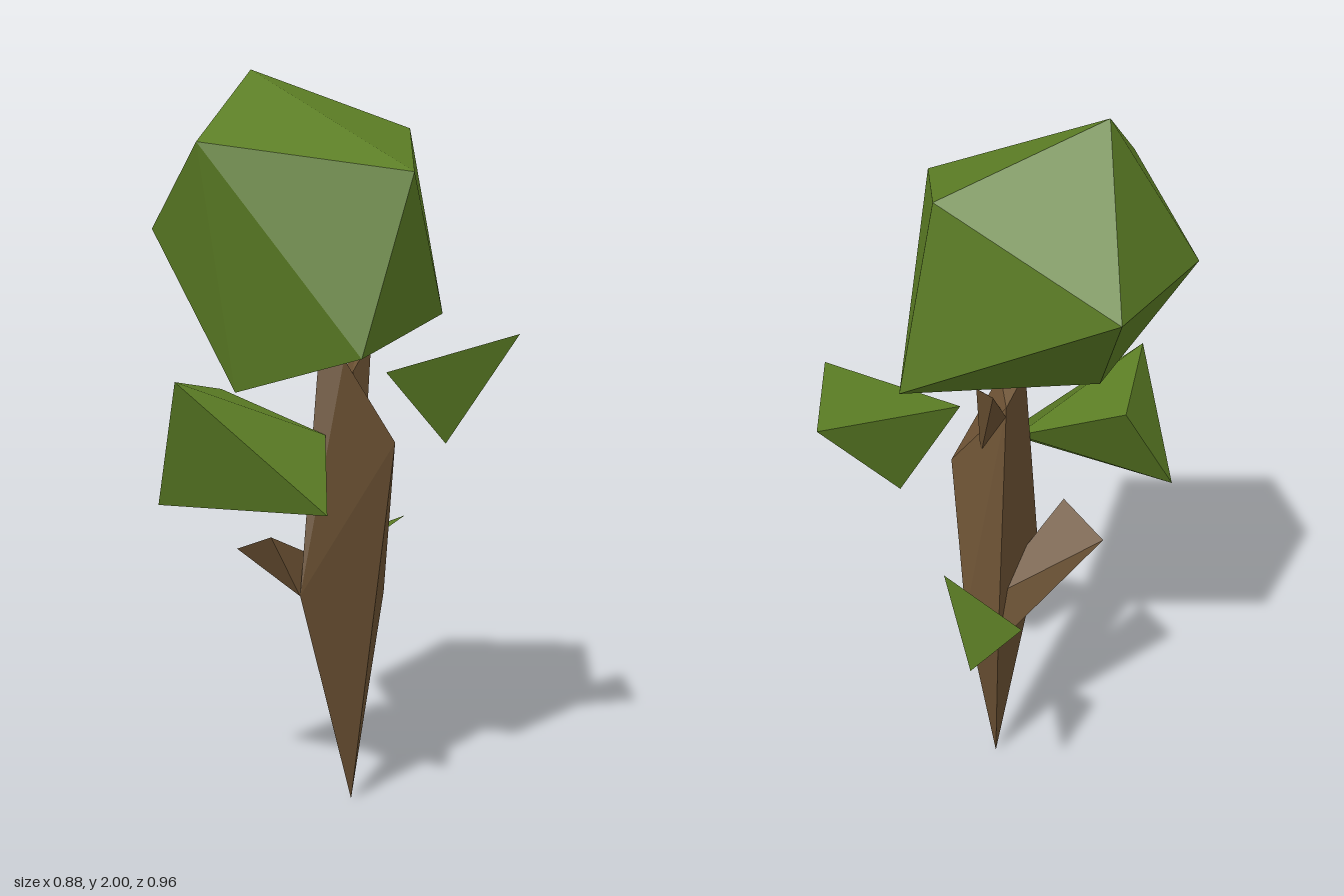
import * as THREE from 'three';
import { ConvexGeometry } from 'three/addons/geometries/ConvexGeometry.js';

const bark = new THREE.MeshStandardMaterial({ color: 0x6b5133 });
bark.name = 'bark brown';
const leaf = new THREE.MeshStandardMaterial({ color: 0x5c7e25, side: THREE.DoubleSide });
leaf.name = 'leaf green';

const toVectors = (points) => points.map((p) => new THREE.Vector3(...p));

// A faceted lump: the convex hull of a few corners, with flat face normals.
function chunk(name, material, points) {
  const mesh = new THREE.Mesh(new ConvexGeometry(toVectors(points)), material);
  mesh.name = name;
  return mesh;
}

// A single flat triangular leaf.
function flatLeaf(name, points) {
  const geometry = new THREE.BufferGeometry().setFromPoints(toVectors(points));
  geometry.computeVertexNormals();
  const mesh = new THREE.Mesh(geometry, leaf);
  mesh.name = name;
  return mesh;
}

export function createModel() {
  const tree = new THREE.Group();
  tree.name = 'tree';

  // Tapered trunk standing on a point, widest at mid height
  tree.add(chunk('trunk', bark, [
    [0.02, 0, 0.01],
    [-0.045, 0.61, 0.18], [-0.035, 0.5, -0.1], [0.06, 0.57, -0.11],
    [0.135, 1.01, -0.025],
    [-0.03, 1.25, 0.1], [0.035, 1.24, 0.08], [-0.025, 1.2, -0.02],
  ]));

  // Broken side branch and the small fork under the crown
  tree.add(chunk('sideBranch', bark, [
    [-0.24, 0.72, 0.18], [-0.09, 0.78, 0.255],
    [-0.045, 0.61, 0.18], [-0.035, 0.49, -0.1], [0.02, 0.61, -0.09],
  ]));
  tree.add(chunk('topFork', bark, [
    [0.05, 1.04, -0.02], [-0.025, 1.16, -0.01], [0.03, 1.2, 0.02],
    [-0.03, 1.28, -0.12], [0.03, 1.28, -0.09],
  ]));

  // Large crown
  tree.add(chunk('crown', leaf, [
    [-0.265, 2, 0.045], [-0.21, 1.8, 0.405], [0.315, 1.725, 0.245],
    [0.06, 1.85, -0.265], [-0.445, 1.58, 0.26], [-0.42, 1.62, -0.27],
    [0.215, 1.27, 0.33], [-0.18, 1.16, 0.28], [0.15, 1.34, -0.295],
  ]));

  // Smaller leaf clumps around the trunk
  tree.add(chunk('frontLeafClump', leaf, [
    [-0.385, 0.855, 0.34], [-0.235, 1.205, 0.48], [0.145, 0.88, 0.38],
    [-0.3, 1.15, 0.155], [0, 1.04, 0.12],
  ]));
  tree.add(chunk('leftLeafClump', leaf, [
    [0.44, 1.305, -0.15], [0.315, 1.265, -0.43],
    [0.21, 0.99, -0.19], [0.095, 1.195, -0.05],
  ]));
  tree.add(flatLeaf('backLeaf', [
    [-0.12, 0.685, -0.48], [-0.135, 0.61, -0.17], [0.07, 0.77, -0.225],
  ]));

  return tree;
}
